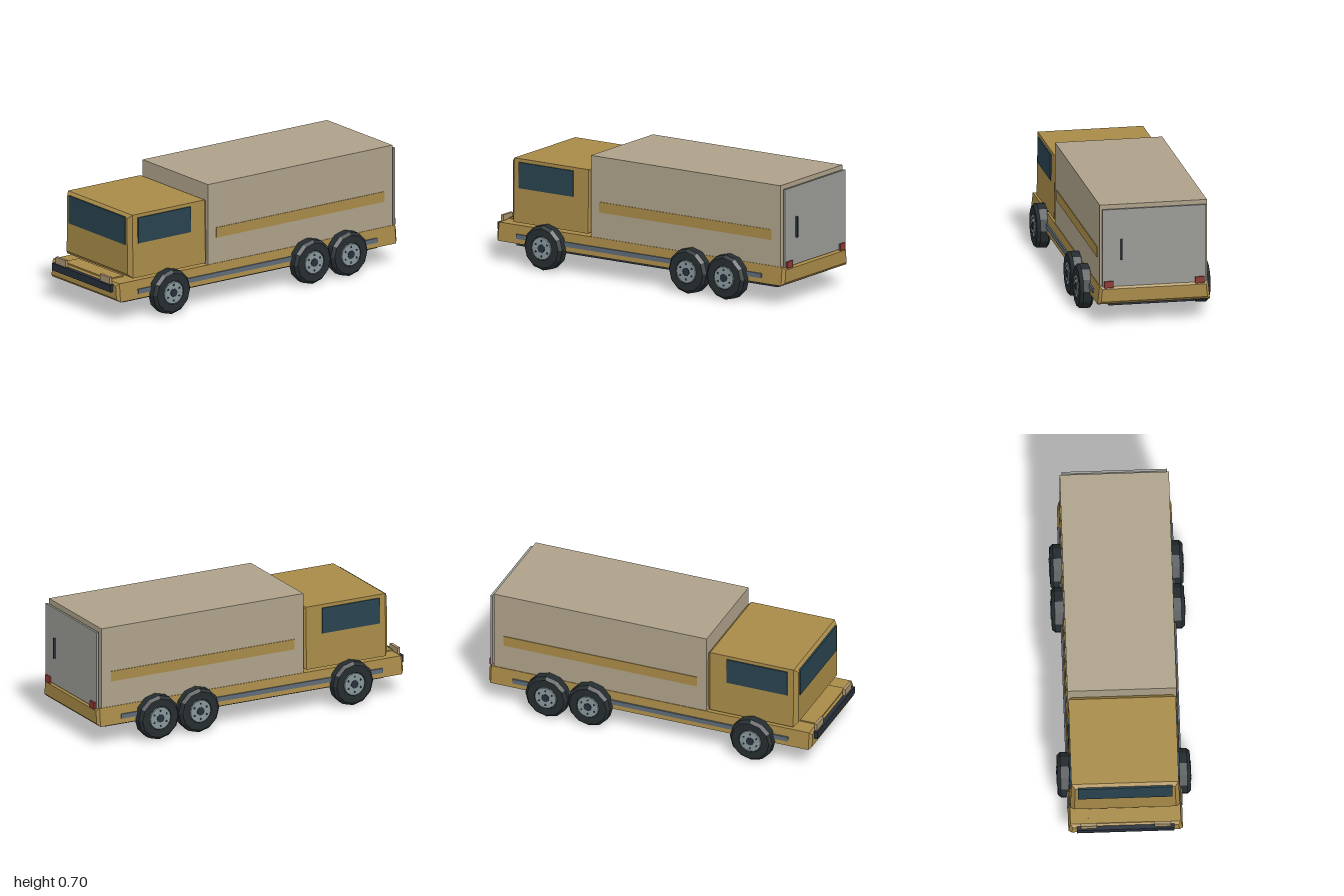
import * as THREE from 'three';

const mat = (color) => new THREE.MeshStandardMaterial({ color, flatShading: true });

export function createModel() {
  const truck = new THREE.Group();
  const gold = mat(0xa88a48), canvas = mat(0xada189), glass = mat(0x28424e), dark = mat(0x272f3a);
  const rubber = mat(0x262d30), steel = mat(0x87969a), doorGrey = mat(0x9a9a96);
  const red = mat(0x8a3a34), lamp = mat(0xa9946f), trim = mat(0x5f6b78);

  const add = (name, geo, material, parent = truck) => {
    const m = new THREE.Mesh(geo, material);
    m.name = name;
    parent.add(m);
    return m;
  };

  // Box given by its min and max on each axis
  const box = (name, material, [x0, x1], [y0, y1], [z0, z1]) => {
    const m = add(name, new THREE.BoxGeometry(x1 - x0, y1 - y0, z1 - z0), material);
    m.position.set((x0 + x1) / 2, (y0 + y1) / 2, (z0 + z1) / 2);
    return m;
  };

  // Box with chamfered edges, its sides leaning inward towards the top
  const chamferBox = (name, material, halfX, [y0, y1], [z0, z1], c, lean) => {
    const x = halfX - c, a = y0 + c, b = y1 - c;
    const shape = new THREE.Shape([[-x, a], [x, a], [x, b], [-x, b]].map(p => new THREE.Vector2(...p)));
    const geo = new THREE.ExtrudeGeometry(shape, {
      depth: z1 - z0 - 2 * c, bevelEnabled: true, bevelThickness: c, bevelSize: c, bevelSegments: 1,
    });
    geo.translate(0, 0, z0 + c);
    const p = geo.attributes.position;
    for (let i = 0; i < p.count; i++) {
      p.setX(i, p.getX(i) * (1 - lean * (p.getY(i) - y0) / (y1 - y0)));
    }
    geo.computeVertexNormals();
    return add(name, geo, material);
  };

  // Chassis
  chamferBox('chassis', gold, 0.323, [0.12, 0.226], [-0.99, 0.98], 0.016, 0.035);
  box('underframe', dark, [-0.245, 0.245], [0.088, 0.135], [-0.9, 0.89]);
  box('frontStep', gold, [-0.21, 0.21], [0.22, 0.233], [0.86, 0.965]);
  box('frontBumper', dark, [-0.275, 0.275], [0.173, 0.215], [0.965, 1]);

  // Cab
  chamferBox('cab', gold, 0.309, [0.24, 0.61], [0.335, 0.888], 0.022, 0.02);
  box('windshield', glass, [-0.266, 0.266], [0.432, 0.594], [0.87, 0.892]);

  // Cargo body and rear door
  box('cargoBody', canvas, [-0.308, 0.308], [0.22, 0.697], [-0.96, 0.338]);
  box('doorMount', dark, [-0.27, 0.27], [0.24, 0.65], [-0.975, -0.955]);
  box('rearDoor', doorGrey, [-0.298, 0.298], [0.224, 0.675], [-0.986, -0.973]);
  box('doorHandle', dark, [0.184, 0.194], [0.38, 0.5], [-0.997, -0.984]);

  // Fittings mirrored on both sides
  for (const s of [-1, 1]) {
    const span = (a, b) => (s > 0 ? [a, b] : [-b, -a]);
    box('sideWindow', glass, span(0.29, 0.311), [0.44, 0.59], [0.46, 0.83]);
    box('cargoStripe', gold, span(0.3, 0.312), [0.375, 0.435], [-0.9, 0.28]);
    box('sideTrim', trim, span(0.305, 0.326), [0.148, 0.175], [-0.84, 0.84]);
    box('headlight', lamp, span(0.162, 0.254), [0.213, 0.254], [0.972, 0.99]);
    box('tailLight', red, span(0.235, 0.288), [0.218, 0.256], [-0.996, -0.984]);
  }

  // Wheels, built around y and turned so that the hub points outward
  const tyreProfile = [[0, -0.04], [0.112, -0.04], [0.13, -0.025], [0.13, 0.022], [0.114, 0.04],
    [0.07, 0.04], [0.066, 0.034], [0, 0.034]].map(p => new THREE.Vector2(...p));
  const tyre = new THREE.LatheGeometry(tyreProfile, 12);
  const hub = new THREE.CylinderGeometry(0.064, 0.068, 0.012, 16);
  const cap = new THREE.CylinderGeometry(0.024, 0.024, 0.012, 10);
  const nut = new THREE.CylinderGeometry(0.006, 0.006, 0.006, 6);
  for (const s of [-1, 1]) {
    for (const z of [0.63, -0.36, -0.618]) {
      const wheel = new THREE.Group();
      wheel.name = 'wheel';
      add('tyre', tyre, rubber, wheel);
      add('hub', hub, steel, wheel).position.y = 0.036;
      add('hubCap', cap, dark, wheel).position.y = 0.039;
      for (let i = 0; i < 6; i++) {
        const a = (i / 6) * Math.PI * 2;
        add('wheelNut', nut, dark, wheel).position.set(0.045 * Math.cos(a), 0.042, 0.045 * Math.sin(a));
      }
      wheel.rotation.z = -s * Math.PI / 2;
      wheel.position.set(s * 0.335, 0.13, z);
      truck.add(wheel);
    }
  }
  return truck;
}
